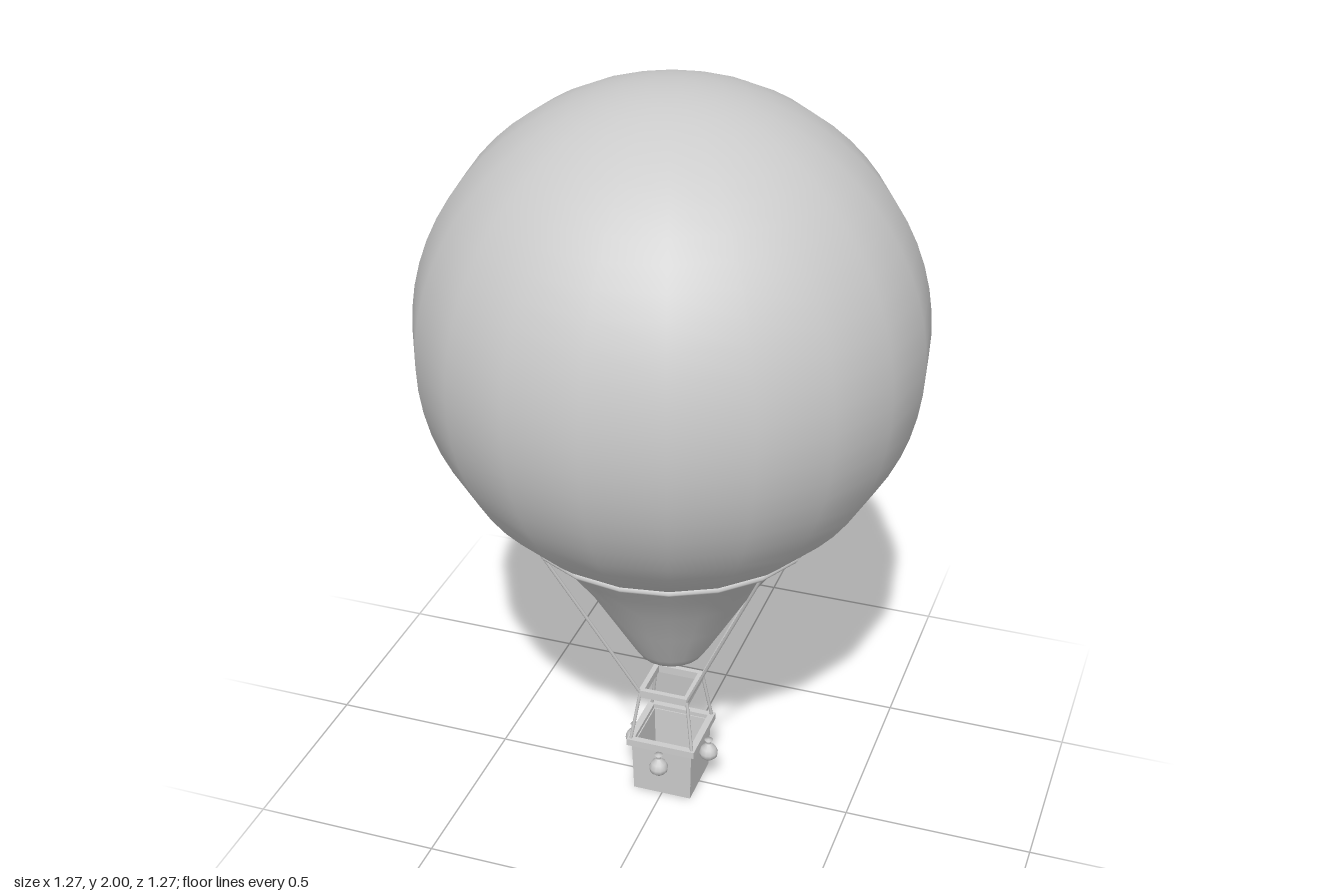
import * as THREE from 'three';

const mat = new THREE.MeshStandardMaterial({ color: 0xcccccc });
const thin = new THREE.MeshStandardMaterial({ color: 0xcccccc, side: THREE.DoubleSide });

function add(parent, name, geometry, material = mat) {
  const mesh = new THREE.Mesh(geometry, material);
  mesh.name = name;
  parent.add(mesh);
  return mesh;
}

// Thin cylinder stretched between two points
function rope(parent, name, a, b, radius) {
  const dir = b.clone().sub(a);
  const mesh = add(parent, name, new THREE.CylinderGeometry(radius, radius, dir.length(), 6));
  mesh.position.copy(a).add(b).multiplyScalar(0.5);
  mesh.quaternion.setFromUnitVectors(new THREE.Vector3(0, 1, 0), dir.normalize());
}

// Four bars forming an open square
function squareFrame(parent, name, half, y, height, depth) {
  const frame = new THREE.Group();
  frame.name = name;
  for (let i = 0; i < 4; i++) {
    const side = new THREE.Group();
    side.rotation.y = i * Math.PI / 2;
    const bar = add(side, name + 'Bar', new THREE.BoxGeometry(half * 2, height, depth));
    bar.position.set(0, y, half - depth / 2);
    frame.add(side);
  }
  parent.add(frame);
}

const profile = pts => pts.map(([r, y]) => new THREE.Vector2(r, y));

export function createModel() {
  const model = new THREE.Group();
  model.name = 'hotAirBalloon';

  // Envelope: 20-sided globe, tapering skirt and the hoop between them
  const globe = add(model, 'envelope', new THREE.SphereGeometry(0.635, 20, 32));
  globe.position.y = 1.365;
  add(model, 'skirt', new THREE.LatheGeometry(profile([
    [0, 0.43], [0.088, 0.43], [0.105, 0.455], [0.17, 0.565], [0.235, 0.675], [0.3, 0.765], [0.371, 0.855],
  ]), 20), thin);
  const hoop = add(model, 'hoop', new THREE.TorusGeometry(0.381, 0.008, 6, 20));
  hoop.rotation.x = Math.PI / 2;
  hoop.position.y = 0.853;

  // Load frame and ropes
  squareFrame(model, 'loadFrame', 0.07, 0.31, 0.022, 0.014);
  for (const sx of [-1, 1]) for (const sz of [-1, 1]) {
    const corner = new THREE.Vector3(sx * 0.066, 0.312, sz * 0.066);
    rope(model, 'upperRope', corner, new THREE.Vector3(sx * 0.308, 0.85, sz * 0.222), 0.0045);
    rope(model, 'lowerRope', new THREE.Vector3(sx * 0.088, 0.16, sz * 0.088), corner, 0.0045);
  }

  // Basket: floor, four walls and rim
  const basket = new THREE.Group();
  basket.name = 'basket';
  model.add(basket);
  const floor = add(basket, 'floor', new THREE.BoxGeometry(0.162, 0.012, 0.162));
  floor.position.y = 0.006;
  const wall = new THREE.BoxGeometry(0.17, 0.158, 0.01);
  const pos = wall.attributes.position;
  for (let i = 0; i < pos.count; i++) {
    // lean the walls so the basket narrows toward the floor
    if (pos.getY(i) < 0) pos.setXYZ(i, pos.getX(i) * 0.95, pos.getY(i), pos.getZ(i) - 0.004);
  }
  wall.computeVertexNormals();
  const bag = new THREE.LatheGeometry(profile([
    [0, 0.084], [0.014, 0.088], [0.024, 0.098], [0.026, 0.11], [0.02, 0.124],
    [0.007, 0.136], [0.006, 0.14], [0.012, 0.15], [0, 0.15],
  ]), 12);
  for (let i = 0; i < 4; i++) {
    const side = new THREE.Group();
    side.name = 'basketSide';
    side.rotation.y = i * Math.PI / 2;
    add(side, 'wall', wall).position.set(0, 0.079, 0.08);
    // Ballast bag hanging at the middle of each side
    add(side, 'ballastBag', bag, thin).position.z = 0.107;
    basket.add(side);
  }
  squareFrame(basket, 'rim', 0.096, 0.16, 0.02, 0.018);
  return model;
}
